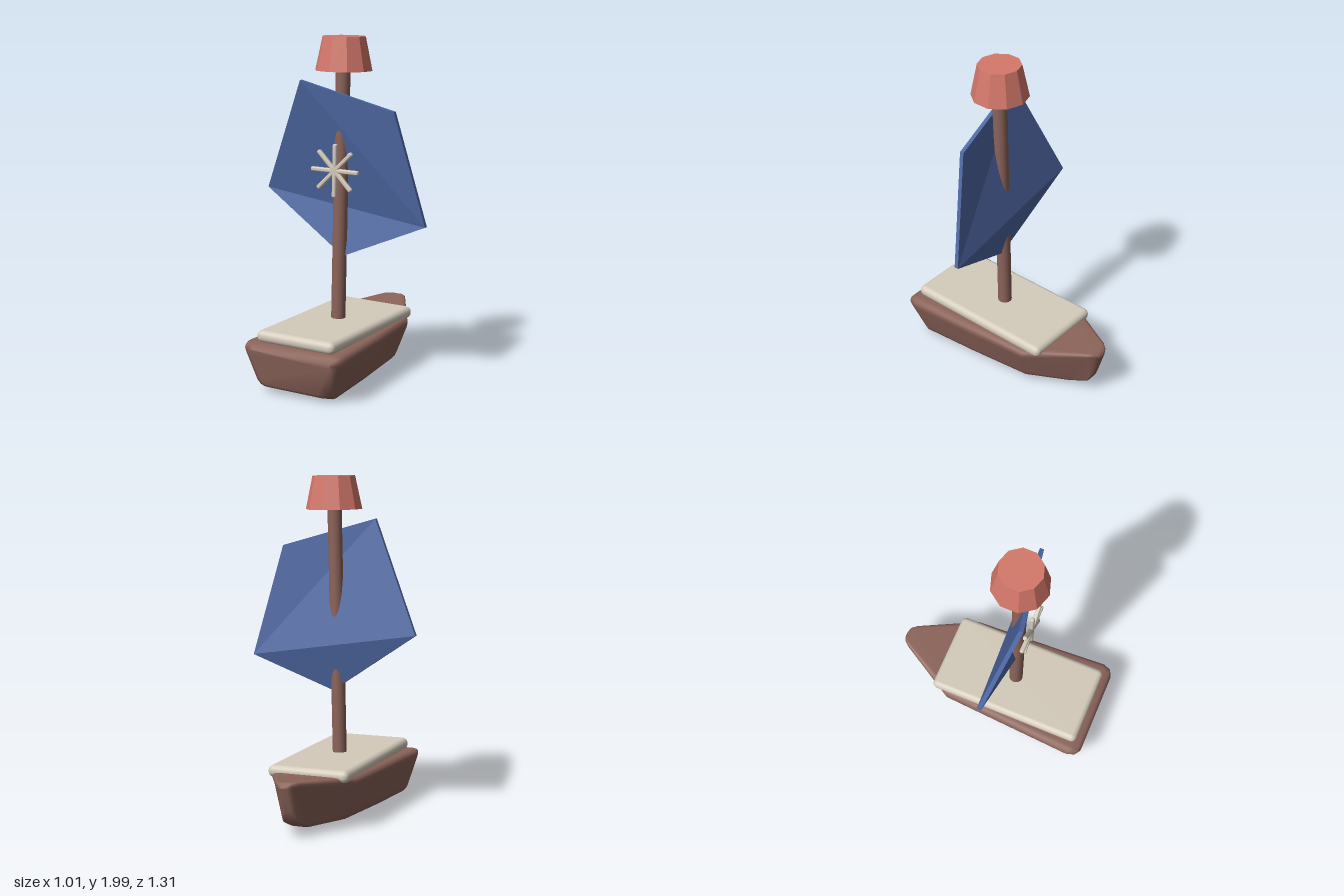
import * as THREE from 'three';
import { RoundedBoxGeometry } from 'three/addons/geometries/RoundedBoxGeometry.js';

const material = (name, color, flatShading = false) => {
  const m = new THREE.MeshStandardMaterial({ color });
  m.name = name;
  m.flatShading = flatShading;
  return m;
};

// Rounded four-sided section, counter-clockwise seen from the stern
function section(topHalf, bottomHalf, yTop, yBottom, radius) {
  const corners = [[topHalf, yTop], [-topHalf, yTop], [-bottomHalf, yBottom], [bottomHalf, yBottom]]
    .map(([x, y]) => new THREE.Vector2(x, y));
  return corners.flatMap((c, i) => {
    const toward = (o) => c.clone().add(o.clone().sub(c).setLength(radius));
    const start = toward(corners[(i + 3) % 4]);
    const end = toward(corners[(i + 1) % 4]);
    return new THREE.QuadraticBezierCurve(start, c, end).getPoints(4);
  });
}

// Hull skinned over raked sections from stern to bow
function hullGeometry() {
  // z at the rail, z at the keel, half widths top and bottom, y top and bottom, corner radius
  const stations = [
    [0.658, 0.61, 0.275, 0.19, 0.25, 0.05, 0.03],
    [0.635, 0.58, 0.318, 0.23, 0.275, 0.025, 0.05],
    [0.585, 0.525, 0.335, 0.25, 0.287, 0.006, 0.06],
    [0.16, 0.16, 0.31, 0.23, 0.293, 0.016, 0.06],
    [-0.27, -0.22, 0.287, 0.2, 0.303, 0.03, 0.06],
    [-0.6, -0.45, 0.08, 0.07, 0.338, 0.04, 0.03],
    [-0.64, -0.56, 0.05, 0.045, 0.333, 0.09, 0.02],
    [-0.657, -0.57, 0.025, 0.02, 0.31, 0.16, 0.01],
  ];
  const positions = [], index = [];
  for (const [zTop, zBottom, ...shape] of stations) {
    for (const p of section(...shape)) positions.push(p.x, p.y, THREE.MathUtils.lerp(zBottom, zTop, p.y / 0.3));
  }
  const n = positions.length / 3 / stations.length;
  const last = (stations.length - 1) * n;
  for (let s = 0; s < last; s += n) {
    for (let j = 0; j < n; j++) {
      const a = s + j, b = s + (j + 1) % n;
      index.push(a, a + n, b, b, a + n, b + n);
    }
  }
  for (let j = 1; j < n - 1; j++) {
    index.push(0, j, j + 1, last, last + j + 1, last + j);
  }
  const g = new THREE.BufferGeometry();
  g.setAttribute('position', new THREE.Float32BufferAttribute(positions, 3));
  g.setIndex(index);
  g.computeVertexNormals();
  return g;
}

// Five-cornered plate folded along two creases
function sailGeometry() {
  const corners = [
    [-0.207, 1.747, 0.192], [-0.51, 1.09, 0.067], [0.02, 0.727, 0.098],
    [0.505, 0.925, 0.008], [0.345, 1.582, 0.092],
  ];
  const half = 0.0125;
  const positions = [half, -half].flatMap((d) => corners.flatMap(([x, y, z]) => [x, y, z + d]));
  const index = [];
  for (const [a, b, c] of [[0, 3, 4], [0, 1, 3], [1, 2, 3]]) {
    index.push(a, b, c, a + 5, c + 5, b + 5);
  }
  for (let i = 0; i < 5; i++) {
    const j = (i + 1) % 5;
    index.push(i, i + 5, j, j, i + 5, j + 5);
  }
  const g = new THREE.BufferGeometry();
  g.setAttribute('position', new THREE.Float32BufferAttribute(positions, 3));
  g.setIndex(index);
  const flat = g.toNonIndexed();
  flat.computeVertexNormals();
  return flat;
}

export function createModel() {
  const model = new THREE.Group();
  model.name = 'sailboat';
  const wood = material('brown wood', 0x8c645a);
  const cream = material('cream', 0xd4cbbb);
  const blue = material('blue cloth', 0x4f69a5, true);
  const coral = material('coral', 0xd4786a, true);
  const roll = -0.024; // slight list to one side

  const add = (name, geometry, mat, x, y, z, tilt = roll, parent = model) => {
    const mesh = new THREE.Mesh(geometry, mat);
    mesh.name = name;
    mesh.position.set(x, y, z);
    mesh.rotation.z = tilt;
    parent.add(mesh);
    return mesh;
  };

  add('hull', hullGeometry(), wood, -0.024, 0.004, 0);
  add('deck', new RoundedBoxGeometry(0.507, 0.072, 0.97, 3, 0.034), cream, -0.018, 0.318, 0.115);
  add('mast', new THREE.CylinderGeometry(0.042, 0.042, 1.54, 24), wood, 0.0, 1.07, 0.1);
  add('sail', sailGeometry(), blue, 0, 0, 0, 0);

  // Tapered lookout basket at the masthead
  add('crowsNest', new THREE.CylinderGeometry(0.125, 0.166, 0.194, 10), coral, 0.02, 1.9, 0.095, -0.012);

  // Eight-pointed emblem made of four crossed bars
  const star = new THREE.Group();
  star.name = 'star';
  star.position.set(0.005, 1.235, 0.177);
  star.rotation.z = roll;
  model.add(star);
  const bar = new RoundedBoxGeometry(0.31, 0.026, 0.026, 2, 0.009);
  for (let i = 0; i < 4; i++) add('starBar', bar, cream, 0, 0, 0, i * Math.PI / 4, star);

  return model;
}
